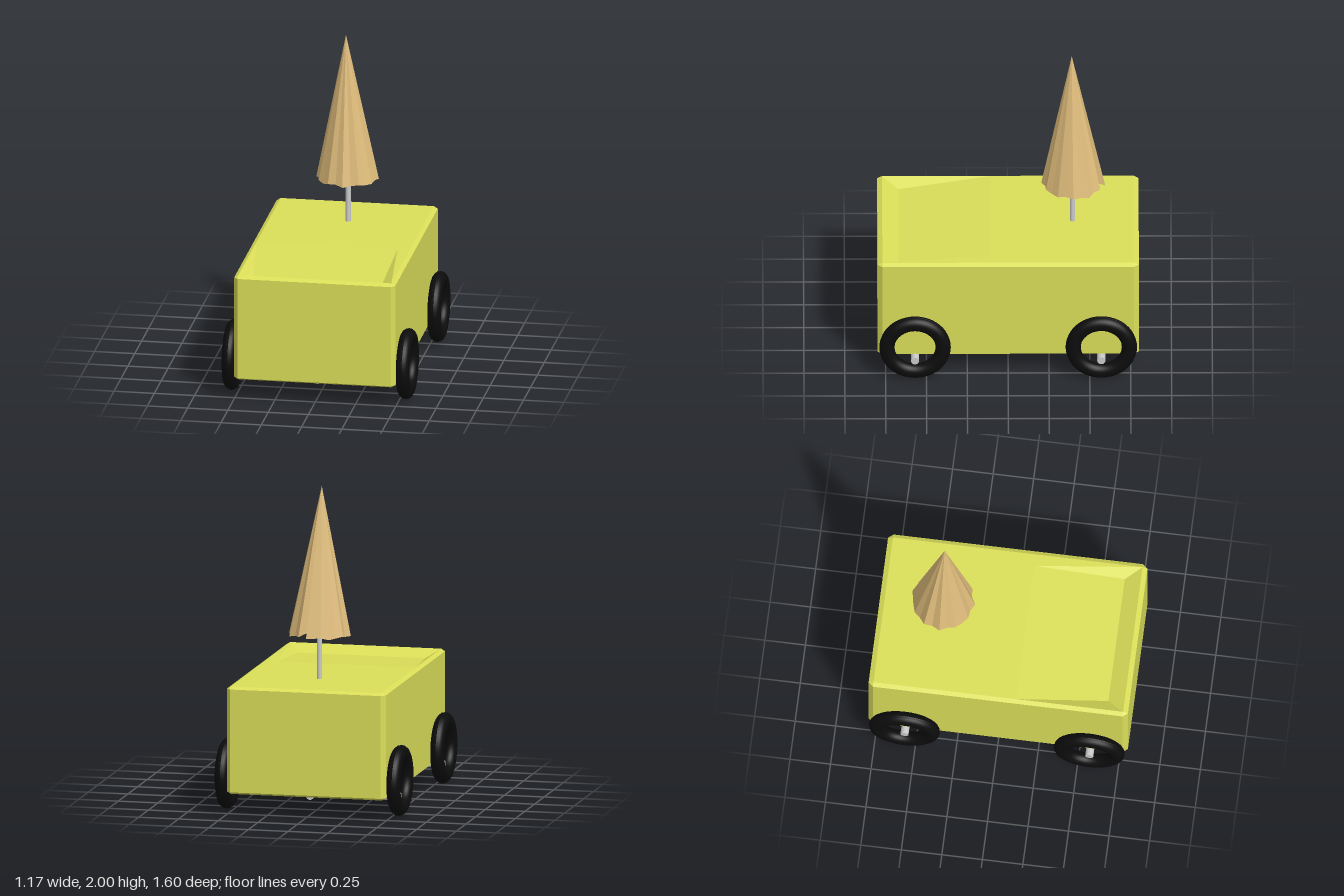
import * as THREE from 'three';

const paint = new THREE.MeshStandardMaterial({ color: 0xdade58, flatShading: true });
const rubber = new THREE.MeshStandardMaterial({ color: 0x0c0c0c });
const metal = new THREE.MeshStandardMaterial({ color: 0xcccccc });
const cloth = new THREE.MeshStandardMaterial({ color: 0xe0bd7c, flatShading: true, side: THREE.DoubleSide });

function add(parent, name, geometry, material, x = 0, y = 0, z = 0) {
  const mesh = new THREE.Mesh(geometry, material);
  mesh.name = name;
  mesh.position.set(x, y, z);
  parent.add(mesh);
  return mesh;
}

// Flat-faced surface from quads [a, b, c, d], counter-clockwise from outside
function fromQuads(quads) {
  const pos = [];
  for (const [a, b, c, d] of quads) pos.push(...a, ...b, ...c, ...a, ...c, ...d);
  const g = new THREE.BufferGeometry();
  g.setAttribute('position', new THREE.Float32BufferAttribute(pos, 3));
  g.computeVertexNormals();
  return g;
}

// Box with bevelled edges and a shallow sloping tray in the front of its top
function bodyGeometry() {
  const X = 0.5, Z = 0.8, x = 0.475, z = 0.77, top = 0.8, bottom = 0.13;
  const ring = (y, X, Z) => [
    [x, y, Z], [X, y, z], [X, y, -z], [x, y, -Z],
    [-x, y, -Z], [-X, y, -z], [-X, y, z], [-x, y, Z],
  ];
  const rings = [ring(bottom, x, z), ring(bottom + 0.015, X, Z), ring(top - 0.015, X, Z), ring(top, x, z)];
  const quads = [];
  for (let r = 0; r < 3; r++) {
    for (let i = 0; i < 8; i++) {
      const j = (i + 1) % 8;
      quads.push([rings[r][i], rings[r][j], rings[r + 1][j], rings[r + 1][i]]);
    }
  }
  quads.push([[-x, bottom, -z], [x, bottom, -z], [x, bottom, z], [-x, bottom, z]]);
  // rear deck
  const start = 0.11, inX = 0.4, inZ = 0.67, low = top - 0.045;
  quads.push([[-x, top, start], [x, top, start], [x, top, -z], [-x, top, -z]]);
  // tray floor, front wall and side walls
  const backL = [inX, top, start], backR = [-inX, top, start];
  const frontL = [inX, low, inZ], frontR = [-inX, low, inZ];
  const rimL = [x, top, z], rimR = [-x, top, z];
  quads.push(
    [frontR, frontL, backL, backR],
    [rimR, rimL, frontL, frontR],
    [rimL, [x, top, start], backL, frontL],
    [[-x, top, start], rimR, frontR, backR],
  );
  return fromQuads(quads);
}

// Round tyre with fine tread ridges, its axis along x
function tyreGeometry() {
  const profile = [];
  for (let i = 0; i <= 32; i++) {
    const a = (i / 32) * Math.PI * 2;
    const r = 0.045 - (i % 2) * 0.003;
    profile.push(new THREE.Vector2(0.172 + Math.cos(a) * r * 1.04, Math.sin(a) * r * 0.95));
  }
  return new THREE.LatheGeometry(profile, 48).rotateZ(Math.PI / 2);
}

// Folded parasol: a pleated open cone with a deep fold at the back
function parasolGeometry() {
  const n = 24, hem = [];
  for (let i = 0; i < n; i++) {
    const a = (i / n) * Math.PI * 2;
    const r = 0.19 + (i % 2 ? -0.009 : 0.003) + 0.004 * Math.sin(i * 2.3);
    hem.push([0.005 + Math.cos(a) * r, 1.08 + 0.007 * Math.sin(i * 1.9), -0.4 + Math.sin(a) * r]);
  }
  hem[19] = [0.04, 1.11, -0.49];
  hem[18] = [0.045, 1.08, -0.595];
  hem[20] = [0.1, 1.085, -0.565];
  const tip = [-0.005, 2, -0.39];
  const pos = [];
  hem.forEach((p, i) => pos.push(...p, ...tip, ...hem[(i + 1) % n]));
  const g = new THREE.BufferGeometry();
  g.setAttribute('position', new THREE.Float32BufferAttribute(pos, 3));
  g.computeVertexNormals();
  return g;
}

export function createModel() {
  const model = new THREE.Group();
  model.name = 'cart';

  add(model, 'body', bodyGeometry(), paint);

  // undercarriage
  const bar = (r, length) => new THREE.CylinderGeometry(r, r, length, 16);
  add(model, 'centreBar', bar(0.025, 1.36).rotateX(Math.PI / 2), metal, 0, 0.122, 0);
  const tyre = tyreGeometry();
  for (const [end, z] of [['front', 0.57], ['rear', -0.57]]) {
    add(model, end + 'Axle', bar(0.025, 1.09).rotateZ(Math.PI / 2), metal, 0, 0.122, z);
    for (const [side, x] of [['Left', 0.541], ['Right', -0.541]]) {
      add(model, end + side + 'Tyre', tyre, rubber, x, 0.222, z);
    }
  }

  // parasol
  add(model, 'parasolPole', bar(0.016, 1.0), metal, 0.008, 1.2, -0.395);
  add(model, 'parasolCloth', parasolGeometry(), cloth);

  return model;
}
